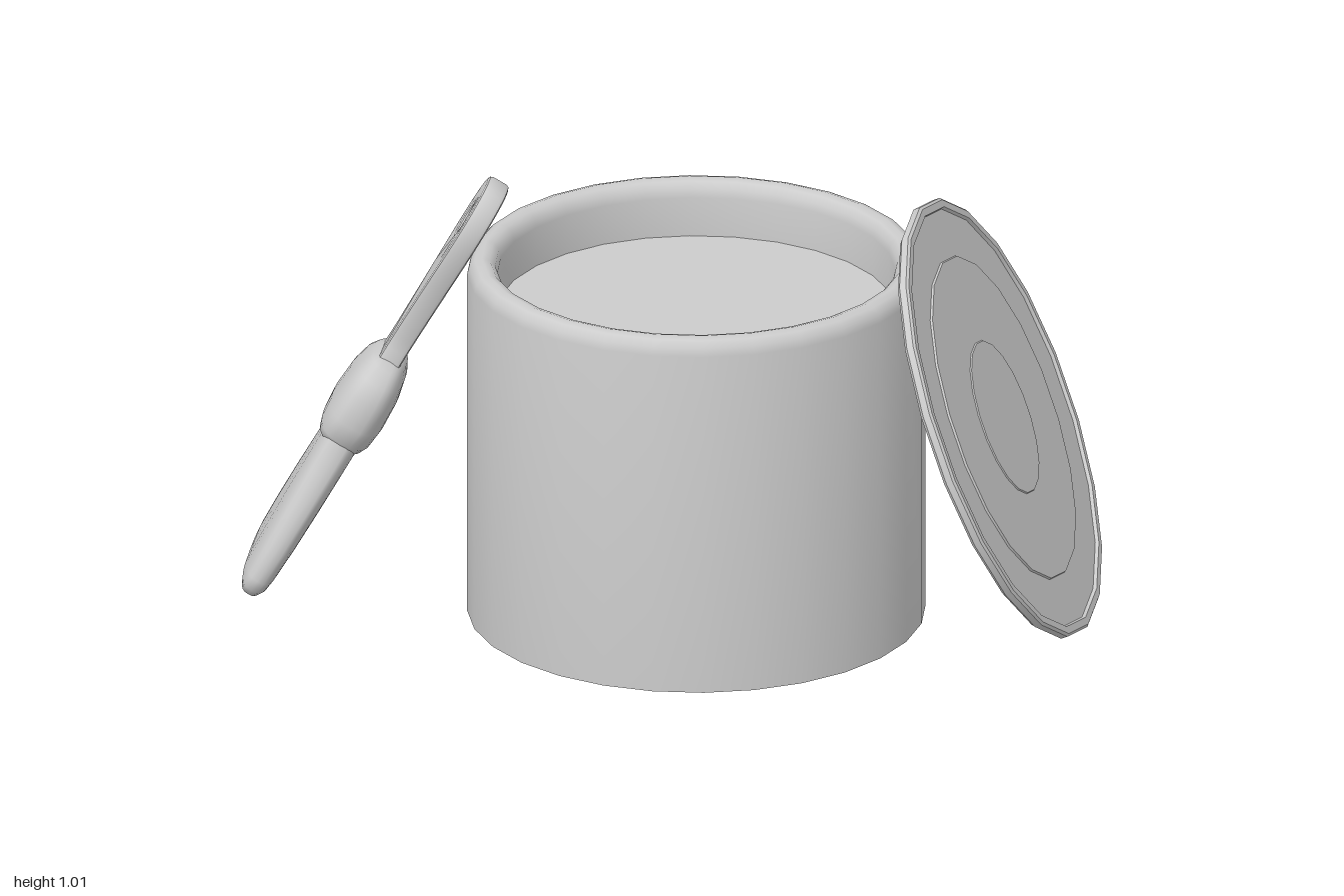
import * as THREE from 'three';
import { mergeVertices, toCreasedNormals } from 'three/addons/utils/BufferGeometryUtils.js';

const grey = new THREE.MeshStandardMaterial({ color: 0xcccccc });

function part(name, geometry) {
  const mesh = new THREE.Mesh(geometry, grey);
  mesh.name = name;
  return mesh;
}

function lathe(points, sides) {
  const profile = points.map(([r, y]) => new THREE.Vector2(r, y));
  return toCreasedNormals(new THREE.LatheGeometry(profile, sides), 0.65);
}

// Smooth flattened body from sections [position, half width, half thickness], listed bottom to top
function loft(sections, power, sides = 28) {
  const rows = sections.length - 1;
  const geo = new THREE.CylinderGeometry(1, 1, 1, sides, rows, true);
  const pos = geo.attributes.position;
  const soft = (v) => Math.sign(v) * Math.abs(v) ** power;
  for (let i = 0; i < pos.count; i++) {
    const [y, w, t] = sections[rows - Math.floor(i / (sides + 1))];
    const a = ((i % (sides + 1)) % sides) / sides * Math.PI * 2;
    pos.setXYZ(i, w * soft(Math.sin(a)), y, t * soft(Math.cos(a)));
  }
  geo.deleteAttribute('uv');
  geo.deleteAttribute('normal');
  const merged = mergeVertices(geo, 1e-5);
  merged.computeVertexNormals();
  return merged;
}

function createCan() {
  const can = new THREE.Group();
  can.name = 'can';
  // Wall with a rounded rim, and the inside wall
  const profile = [[0, 0], [0.53, 0], [0.53, 0.835]];
  for (let i = 1; i <= 6; i++) {
    const a = (i / 6) * Math.PI;
    profile.push([0.495 + 0.035 * Math.cos(a), 0.835 + 0.04 * Math.sin(a)]);
  }
  profile.push([0.46, 0.72]);
  const paint = part('paint', new THREE.CircleGeometry(0.465, 28).rotateX(-Math.PI / 2));
  paint.position.y = 0.74;
  can.add(part('canWall', lathe(profile, 28)), paint);
  can.position.set(0.0625, 0.005, -0.05);
  return can;
}

function createLid() {
  // Disc with a raised edge and stepped rings on the outer face
  const lid = part('lid', lathe([
    [0, -0.014], [0.522, -0.014], [0.531, -0.006], [0.531, 0.01], [0.525, 0.015], [0.508, 0.015],
    [0.505, 0.007], [0.392, 0.007], [0.39, 0.012], [0.186, 0.012], [0.184, 0.015], [0, 0.015],
  ], 20));
  const facing = new THREE.Vector3(0.897, 0.39, 0.2).normalize();
  lid.quaternion.setFromUnitVectors(new THREE.Vector3(0, 1, 0), facing);
  lid.position.set(0.76, 0.507, 0.053);
  return lid;
}

function createHandle() {
  // Paddle outline, mirrored, with a hanging hole
  const side = [[0.06, 0.58], [0.05, 0.65], [0.047, 0.7], [0.064, 0.82], [0.088, 0.94],
    [0.095, 1.02], [0.08, 1.08], [0.045, 1.12]];
  const outline = [...side, [0, 1.13], ...side.map(([x, y]) => [-x, y]).reverse()];
  const curve = new THREE.SplineCurve(outline.map(([x, y]) => new THREE.Vector2(x, y)));
  const shape = new THREE.Shape(curve.getPoints(48));
  const hole = new THREE.Path();
  hole.absarc(0, 1.02, 0.043, 0, Math.PI * 2, true);
  shape.holes.push(hole);
  const geo = new THREE.ExtrudeGeometry(shape, {
    depth: 0.034, curveSegments: 10, bevelThickness: 0.01, bevelSize: 0.01, bevelOffset: -0.005, bevelSegments: 2,
  });
  geo.translate(0, 0, -0.017);
  return part('brushHandle', toCreasedNormals(geo, 0.7));
}

function createBrush() {
  const brush = new THREE.Group();
  brush.name = 'brush';
  // Bristles flare towards the rounded tip
  const bristles = loft([
    [0, 0.001, 0.001], [0, 0.14, 0.015], [0.008, 0.18, 0.028], [0.03, 0.205, 0.037], [0.06, 0.212, 0.04],
    [0.14, 0.203, 0.043], [0.24, 0.178, 0.045], [0.34, 0.148, 0.046], [0.42, 0.125, 0.046],
    [0.5, 0.11, 0.04], [0.5, 0.001, 0.001],
  ], 0.62);
  // Rounded collar between bristles and handle
  const collar = loft([
    [0.395, 0.001, 0.001], [0.395, 0.07, 0.045], [0.405, 0.105, 0.058], [0.43, 0.133, 0.066], [0.48, 0.145, 0.07],
    [0.55, 0.141, 0.066], [0.595, 0.125, 0.056], [0.625, 0.09, 0.042], [0.64, 0.05, 0.028], [0.64, 0.001, 0.001],
  ], 0.72);
  brush.add(part('bristles', bristles), part('brushCollar', collar), createHandle());
  // Lean against the can: local x is width, y runs up the handle
  const along = new THREE.Vector3(0.49, 0.868, 0.083).normalize();
  const across = new THREE.Vector3(-0.17, 0, 0.985);
  const out = across.clone().cross(along).normalize();
  across.crossVectors(along, out);
  brush.quaternion.setFromRotationMatrix(new THREE.Matrix4().makeBasis(across, along, out));
  brush.position.set(-0.945, 0.025, -0.275);
  return brush;
}

export function createModel() {
  const model = new THREE.Group();
  model.name = 'paintCanWithLidAndBrush';
  model.add(createCan(), createLid(), createBrush());
  return model;
}
